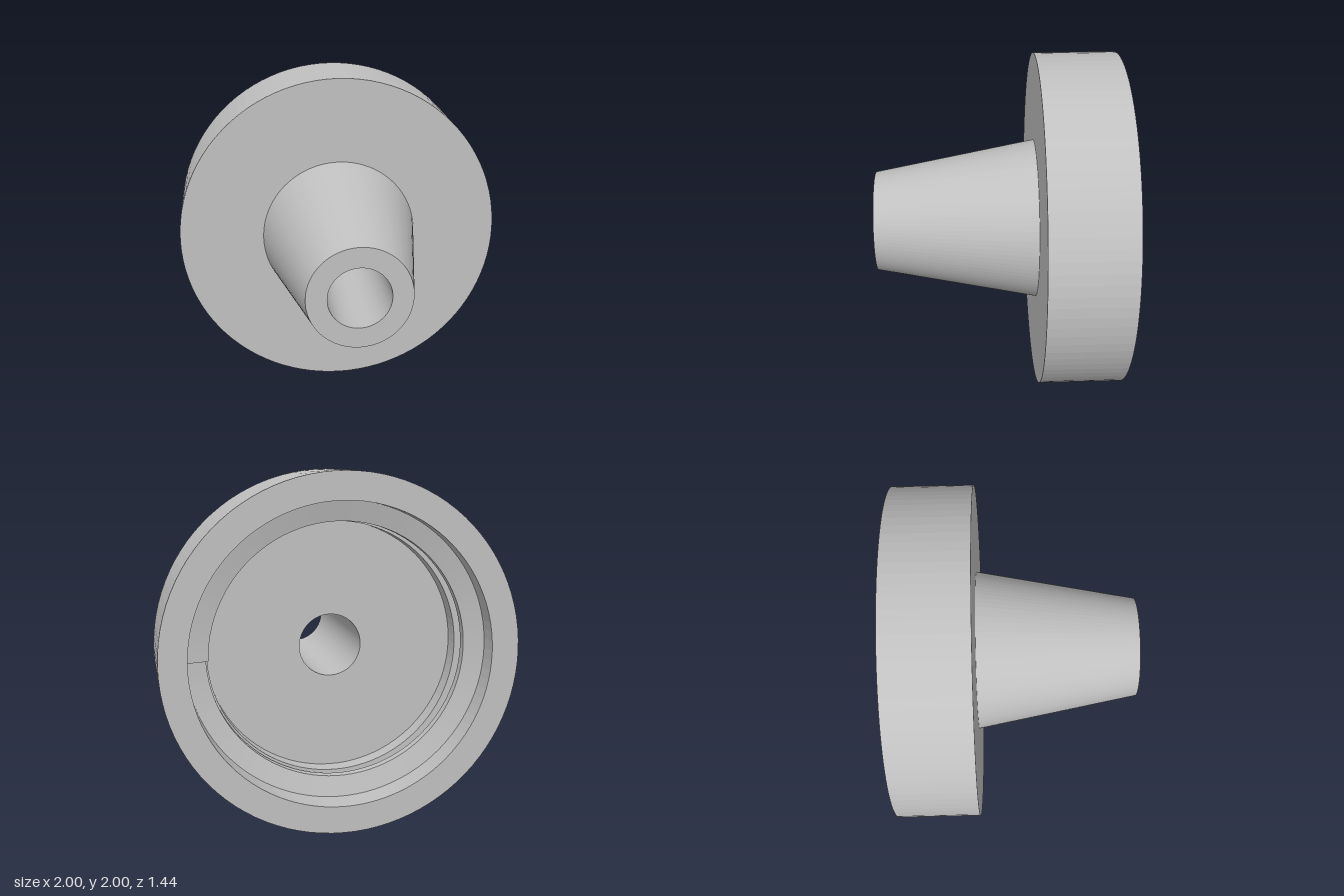
import * as THREE from 'three';

const SEGMENTS = 96;
const BACK = -0.72, PLATE = -0.235, FLOOR = -0.35, LEDGE = -0.45, TIP = 0.72;
const BORE = 0.18, CAVITY = 0.845, LEDGE_R = 0.72;

// Solid of revolution around the z axis; profile points are [radius, z]
function turned(name, profile, material) {
  const points = profile.map(([r, z]) => new THREE.Vector2(r, z));
  const geometry = new THREE.LatheGeometry(points, SEGMENTS).rotateX(Math.PI / 2);
  const mesh = new THREE.Mesh(geometry, material);
  mesh.name = name;
  return mesh;
}

// Trapezoid section swept along one turn of a helix inside the cavity
function threadGeometry() {
  const section = [[0.85, 0], [0.73, 0.03], [0.73, 0.08], [0.85, 0.11]];
  const start = BACK + 0.045, pitch = 0.15;
  const n = section.length;
  const positions = [], index = [];
  for (let i = 0; i <= SEGMENTS; i++) {
    const t = i / SEGMENTS, angle = t * Math.PI * 2;
    for (const [r, dz] of section) {
      positions.push(r * Math.cos(angle), r * Math.sin(angle), start + dz + pitch * t);
    }
    if (i === SEGMENTS) break;
    for (let j = 0; j < n; j++) {
      const a = i * n + j, b = i * n + (j + 1) % n;
      index.push(a, b, b + n, a, b + n, a + n);
    }
  }
  // End faces
  const e = SEGMENTS * n;
  index.push(0, 3, 2, 0, 2, 1, e, e + 1, e + 2, e, e + 2, e + 3);
  const geometry = new THREE.BufferGeometry();
  geometry.setAttribute('position', new THREE.Float32BufferAttribute(positions, 3));
  geometry.setIndex(index);
  geometry.computeVertexNormals();
  return geometry;
}

export function createModel() {
  const grey = new THREE.MeshStandardMaterial({ color: 0xc0c0c0, flatShading: true });
  grey.name = 'light grey';

  const group = new THREE.Group();
  group.name = 'threadedNozzleCap';

  // Round cap with a stepped cavity open to the back
  const cap = turned('cap', [
    [BORE, FLOOR], [LEDGE_R, FLOOR], [LEDGE_R, LEDGE], [CAVITY, LEDGE],
    [CAVITY, BACK], [1, BACK], [1, PLATE], [0.48, PLATE],
  ], grey);

  // Tapered nozzle with a straight bore through to the cavity
  const nozzle = turned('nozzle', [
    [0.48, PLATE], [0.3, TIP], [BORE, TIP], [BORE, FLOOR],
  ], grey);

  // Internal screw thread
  const thread = new THREE.Mesh(threadGeometry(), grey);
  thread.name = 'innerThread';

  for (const part of [cap, nozzle, thread]) {
    part.position.y = 1;
    group.add(part);
  }
  return group;
}
